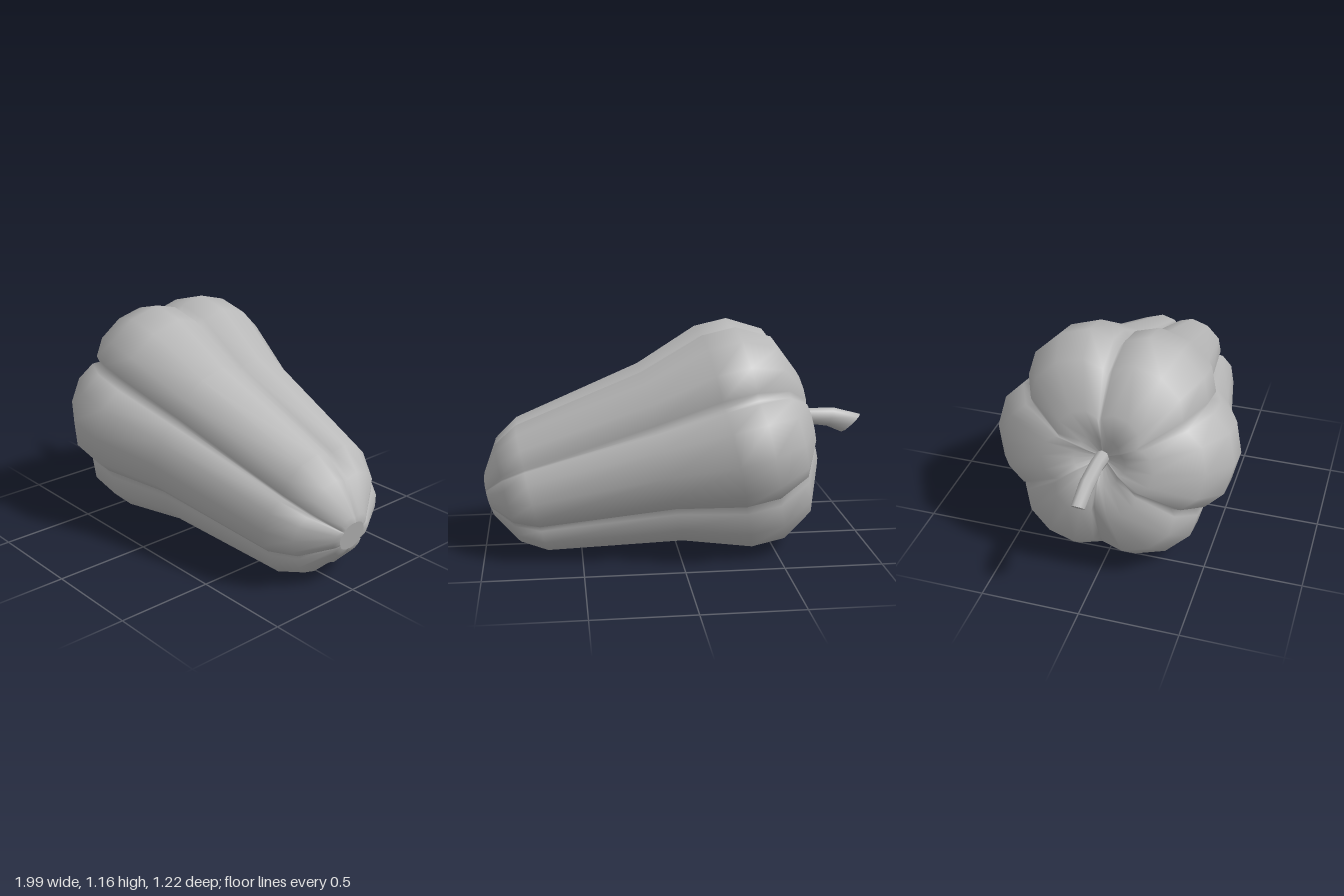
import * as THREE from 'three';

// Skin a list of closed rings (ordered along +x) and close both ends with flat caps.
function loft(rings) {
  const n = rings[0].length;
  const pos = rings.flat().flatMap((p) => [p.x, p.y, p.z]);
  const idx = [];
  for (let i = 0; i < rings.length - 1; i++) {
    for (let j = 0; j < n; j++) {
      const a = i * n + j, b = i * n + (j + 1) % n;
      idx.push(a, b, a + n, b, b + n, a + n);
    }
  }
  const cap = (ring, atStart) => {
    const base = pos.length / 3;
    const c = ring.reduce((s, p) => s.add(p), new THREE.Vector3()).divideScalar(n);
    [c, ...ring].forEach((p) => pos.push(p.x, p.y, p.z));
    for (let j = 0; j < n; j++) {
      const a = base + 1 + j, b = base + 1 + (j + 1) % n;
      idx.push(base, atStart ? b : a, atStart ? a : b);
    }
  };
  cap(rings[0], true);
  cap(rings[rings.length - 1], false);
  const g = new THREE.BufferGeometry();
  g.setAttribute('position', new THREE.Float32BufferAttribute(pos, 3));
  g.setIndex(idx);
  g.computeVertexNormals();
  return g;
}

export function createModel() {
  const group = new THREE.Group();
  const grey = new THREE.MeshStandardMaterial({ color: 0xb8b8b8 });
  grey.name = 'plain grey';
  const add = (name, geometry) => {
    const mesh = new THREE.Mesh(geometry, grey);
    mesh.name = name;
    group.add(mesh);
  };

  // Fruit: six lobes around an axis that dips toward +x
  const tilt = 0.225, lobes = 6;
  const along = new THREE.Vector3(Math.cos(tilt), -Math.sin(tilt), 0);
  const up = new THREE.Vector3(Math.sin(tilt), Math.cos(tilt), 0);
  // One lobe: degrees from its starting groove, share of the full radius
  const lobe = [[0, 0.82], [3, 0.89], [14.5, 0.975], [30, 1], [45.5, 0.975], [57, 0.89]];
  // Position along the axis, radius, lobe depth
  const stations = [
    [-0.61, 0.03, 0.3], [-0.66, 0.13, 1], [-0.70, 0.28, 1.3], [-0.60, 0.51, 1.1],
    [-0.43, 0.61, 1], [-0.256, 0.61, 1], [0.082, 0.49, 1], [0.764, 0.365, 1],
    [0.892, 0.285, 1.1], [0.995, 0.118, 1.2], [1.003, 0.08, 0.3],
  ];
  const rings = stations.map(([t, radius, depth]) => {
    const ring = [];
    for (let k = 0; k < lobes; k++) {
      for (const [deg, share] of lobe) {
        const a = THREE.MathUtils.degToRad(k * 60 + deg);
        const r = radius * (1 - (1 - share) * depth);
        ring.push(new THREE.Vector3(0, 0.508, r * Math.sin(a))
          .addScaledVector(along, t)
          .addScaledVector(up, r * Math.cos(a)));
      }
    }
    return ring;
  });
  add('lobedFruit', loft(rings));

  // Stem: oval rings between upper and lower edge points, with a slanted cut end
  const cuts = [
    [-1.0, 0.66, -0.90, 0.565, 0.03], [-0.85, 0.70, -0.82, 0.60, 0.036],
    [-0.69, 0.70, -0.68, 0.62, 0.036], [-0.58, 0.685, -0.58, 0.60, 0.036],
  ];
  add('stem', loft(cuts.map(([x1, y1, x2, y2, w]) => Array.from({ length: 8 }, (_, j) => {
    const a = j * Math.PI / 4, s = (1 - Math.cos(a)) / 2;
    return new THREE.Vector3(x1 + (x2 - x1) * s, y1 + (y2 - y1) * s, w * Math.sin(a));
  }))));

  return group;
}
